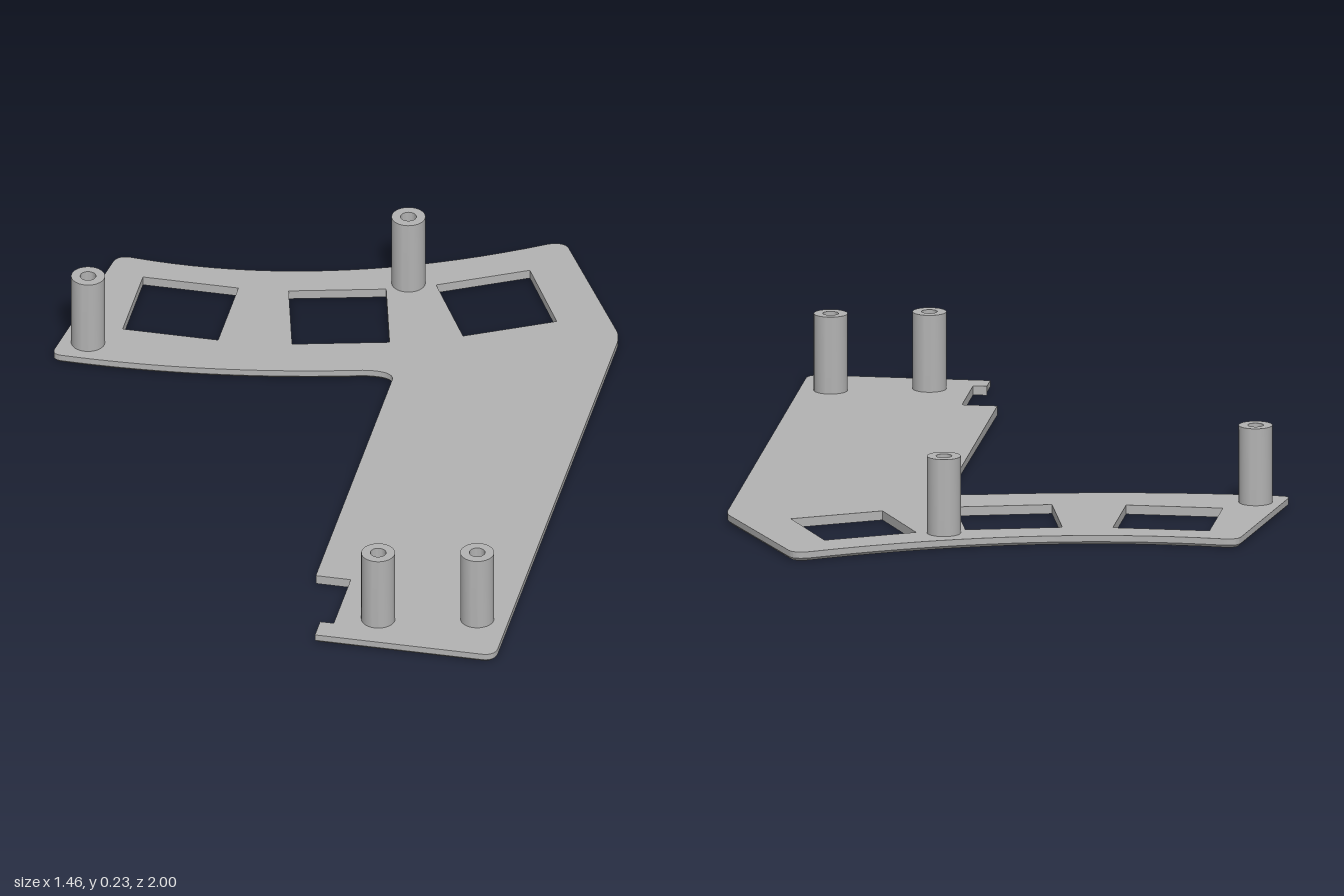
import * as THREE from 'three';
import { toCreasedNormals } from 'three/addons/utils/BufferGeometryUtils.js';

const THICK = 0.025;    // plate thickness
const CHAMFER = 0.008;  // bevel along the plate's lower outer edge
const TOP = 0.235;      // top of the standoffs

// Plan outline, counter-clockwise seen from above (shape y = -z)
function plateShape() {
  const s = new THREE.Shape();
  const line = (x, z) => s.lineTo(x, -z);
  const curve = (cx, cz, x, z) => s.quadraticCurveTo(cx, -cz, x, -z);
  s.moveTo(-0.664, 0.672);
  line(-0.728, -0.222);
  curve(-0.733, -0.192, -0.70, -0.193);
  curve(-0.31, -0.183, 0.093, -0.288);   // inner arc
  curve(0.17, -0.302, 0.18, -0.265);
  line(0.18, 0.717);                     // notch
  line(0.275, 0.717);
  line(0.275, 0.934);
  line(0.238, 0.934);
  line(0.238, 1);
  line(0.69, 1);
  curve(0.727, 1, 0.727, 0.96);
  line(0.727, -0.555);
  curve(0.727, -0.592, 0.712, -0.619);
  line(0.505, -0.984);
  curve(0.487, -1.012, 0.447, -0.992);
  curve(-0.086, -0.65, -0.611, -0.698);  // outer arc
  curve(-0.657, -0.704, -0.664, -0.672);
  return s;
}

// Square opening turned by an angle
function squareHole(x, z, degrees) {
  const half = 0.1295, a = THREE.MathUtils.degToRad(degrees);
  const corners = [[-1, -1], [-1, 1], [1, 1], [1, -1]].map(([u, v]) =>
    new THREE.Vector2(u * half, v * half).rotateAround(new THREE.Vector2(), a).add(new THREE.Vector2(x, -z)));
  return new THREE.Path(corners);
}

function plateGeometry() {
  const segments = 20;
  const shape = plateShape();
  const outline = shape.getPoints(segments);
  if (outline[0].distanceTo(outline[outline.length - 1]) < 1e-6) outline.pop();
  shape.holes.push(squareHole(-0.442, -0.482, 0), squareHole(-0.022, -0.531, 14), squareHole(0.373, -0.682, 28));

  // Inward mitred offset of each outline point; the notch stays square
  const n = outline.length;
  const inward = (a, b) => new THREE.Vector2(a.y - b.y, b.x - a.x).normalize();
  const offsets = outline.map((p, i) => {
    if (p.x > 0.17 && p.x < 0.3 && p.y < -0.7 && p.y > -0.95) return new THREE.Vector2();
    const n1 = inward(outline[(i + n - 1) % n], p), n2 = inward(p, outline[(i + 1) % n]);
    return n1.clone().add(n2).multiplyScalar(CHAMFER / (1 + n1.dot(n2)));
  });

  const geo = new THREE.ExtrudeGeometry(shape, { depth: THICK, steps: 2, bevelEnabled: false, curveSegments: segments });
  const pos = geo.attributes.position;
  for (let i = 0; i < pos.count; i++) {
    const x = pos.getX(i), y = pos.getY(i), z = pos.getZ(i);
    if (z > THICK * 0.9) continue;
    if (z > THICK * 0.1) { pos.setZ(i, CHAMFER); continue; }
    const k = outline.findIndex(p => Math.hypot(p.x - x, p.y - y) < 1e-5);
    if (k >= 0) pos.setXY(i, x + offsets[k].x, y + offsets[k].y);
  }
  geo.rotateX(-Math.PI / 2);
  return toCreasedNormals(geo, 0.5);
}

// Hollow post with a blind screw hole
function standoffGeometry() {
  const r = 0.045, bore = 0.021, base = THICK * 0.6, floor = THICK + 0.002;
  const profile = [[r, base], [r, TOP], [bore, TOP], [bore, floor], [0, floor]];
  return toCreasedNormals(new THREE.LatheGeometry(profile.map(p => new THREE.Vector2(...p)), 40), 0.5);
}

export function createModel() {
  const model = new THREE.Group();
  model.name = 'switchPlate';
  const grey = new THREE.MeshStandardMaterial({ color: 0xb2b2b2 });
  grey.name = 'grey';

  const plate = new THREE.Mesh(plateGeometry(), grey);
  plate.name = 'plate';
  model.add(plate);

  const post = standoffGeometry();
  [[-0.648, -0.27], [0.124, -0.73], [0.386, 0.889], [0.643, 0.833]].forEach(([x, z], i) => {
    const standoff = new THREE.Mesh(post, grey);
    standoff.name = `standoff${i + 1}`;
    standoff.position.set(x, 0, z);
    model.add(standoff);
  });
  return model;
}
